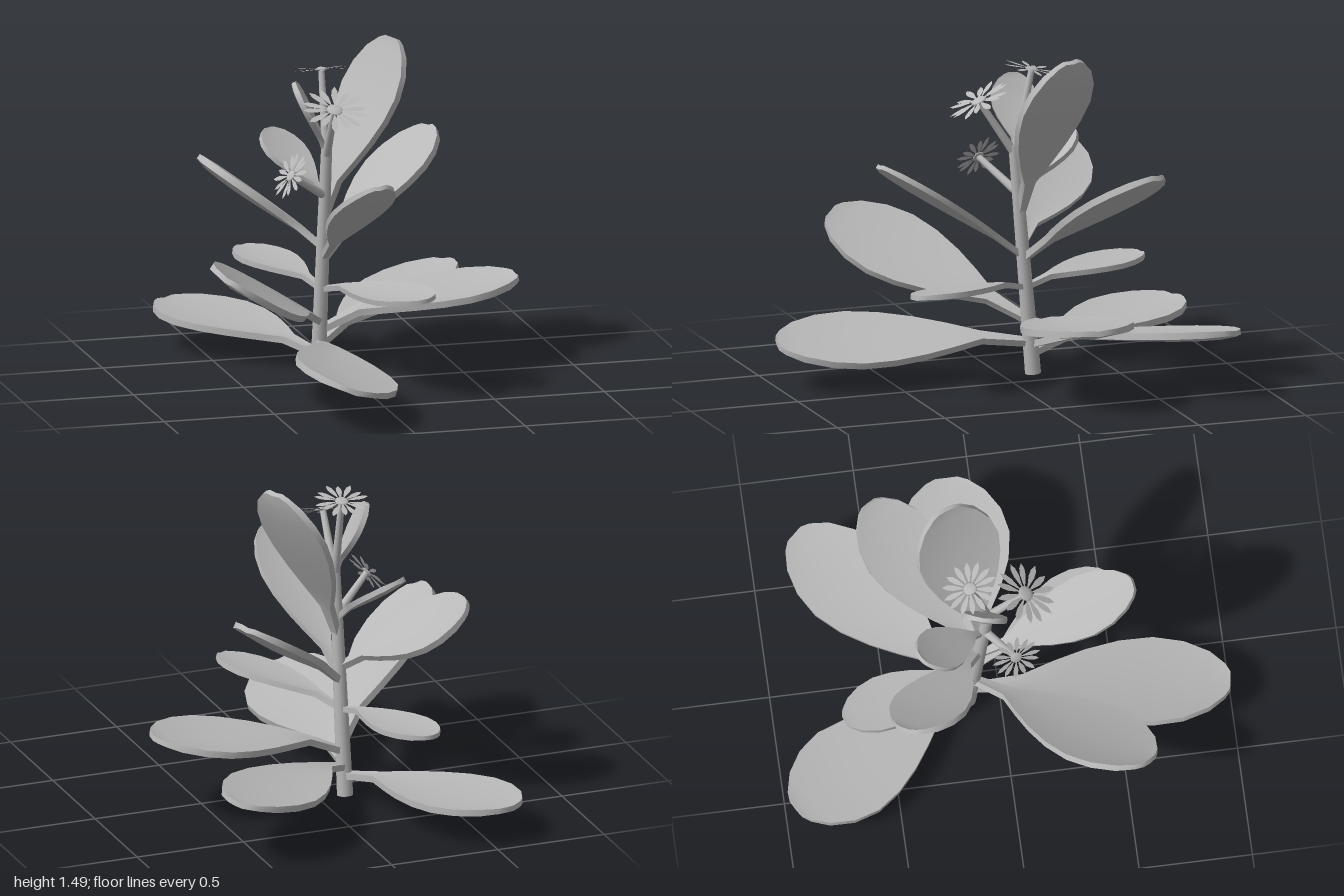
import * as THREE from 'three';
import { toCreasedNormals } from 'three/addons/utils/BufferGeometryUtils.js';

const V = (a) => new THREE.Vector3(...a);
const grey = new THREE.MeshStandardMaterial({ color: 0xb8b8b8, side: THREE.DoubleSide });
grey.name = 'plain grey';

// Centre of the leaning stem at height y
const stemAt = (y) => new THREE.Vector3(-0.122 + 0.012 * y, y, -0.14 + 0.09 * y);

function addMesh(parent, geometry, name) {
  const mesh = new THREE.Mesh(geometry, grey);
  mesh.name = name;
  parent.add(mesh);
  return mesh;
}

// Tapered rod between two points
function addRod(parent, from, to, r0, r1, name) {
  const dir = to.clone().sub(from);
  const rod = addMesh(parent, new THREE.CylinderGeometry(r1, r0, dir.length(), 12), name);
  rod.position.copy(from).add(to).multiplyScalar(0.5);
  rod.quaternion.setFromUnitVectors(new THREE.Vector3(0, 1, 0), dir.normalize());
}

// Paddle outline: distance along the leaf, share of the half width
const outline = [[0, 0.08], [0.2, 0.16], [0.32, 0.46], [0.44, 0.72], [0.57, 0.92],
  [0.7, 1], [0.82, 0.9], [0.92, 0.66], [0.98, 0.38], [1, 0.2]];

// Thick, slightly cupped leaf lofted along a midrib that rises early
function leafGeometry(base, tip, width, hint, arch, thick) {
  const axis = tip.clone().sub(base);
  const along = axis.clone().normalize();
  const normal = hint.clone().addScaledVector(along, -hint.dot(along)).normalize();
  const side = along.clone().cross(normal);
  const pos = [], index = [];
  for (const [t, w] of outline) {
    const mid = base.clone().addScaledVector(axis, t)
      .addScaledVector(normal, arch * Math.sin(Math.PI * Math.sqrt(t)));
    const half = w * width / 2;
    const cup = 0.12 * half;
    const h = thick * (t > 0.95 ? 0.4 : 0.5);
    for (const [s, n] of [[-1, h], [0, h - cup], [1, h], [1, -h], [0, -h - cup], [-1, -h]]) {
      const p = mid.clone().addScaledVector(side, s * half).addScaledVector(normal, n);
      pos.push(p.x, p.y, p.z);
    }
  }
  const last = (outline.length - 1) * 6;
  for (let r = 0; r < last; r += 6) {
    for (let k = 0; k < 6; k++) {
      const a = r + k, b = r + (k + 1) % 6;
      index.push(a, b, a + 6, b, b + 6, a + 6);
    }
  }
  for (const [a, b, c, d] of [[0, 1, 4, 5], [1, 2, 3, 4]]) {
    index.push(a, c, b, a, d, c);
    index.push(last + a, last + b, last + c, last + a, last + c, last + d);
  }
  const g = new THREE.BufferGeometry();
  g.setAttribute('position', new THREE.Float32BufferAttribute(pos, 3));
  g.setIndex(index);
  return toCreasedNormals(g, 0.6);
}

// Daisy with pointed petals around a domed centre
function addFlower(parent, center, facing, radius, count) {
  const flower = new THREE.Group();
  flower.name = 'flower';
  const petal = new THREE.Shape([[0.15, 0], [0.6, -0.1], [0.82, -0.09], [1, 0], [0.82, 0.09], [0.6, 0.1]]
    .map(([x, y]) => new THREE.Vector2(x * radius, y * radius)));
  const petalGeo = new THREE.ShapeGeometry(petal).rotateX(-Math.PI / 2);
  for (let i = 0; i < count; i++) {
    const mesh = addMesh(flower, petalGeo, 'petal');
    mesh.rotation.set(0, i / count * Math.PI * 2, i % 2 ? 0.06 : -0.03);
  }
  addMesh(flower, new THREE.SphereGeometry(radius * 0.25, 12, 6).scale(1, 0.25, 1), 'flowerCentre');
  flower.position.copy(center);
  flower.quaternion.setFromUnitVectors(new THREE.Vector3(0, 1, 0), facing.normalize());
  parent.add(flower);
}

export function createModel() {
  const plant = new THREE.Group();
  plant.name = 'floweringPlant';

  addRod(plant, stemAt(0), stemAt(1.04), 0.036, 0.025, 'stem');

  // Leaves: height on stem, tip, width, direction of the upper face, arch
  const leaves = [
    [0.09, [-0.59, 0.17, -0.96], 0.45, [0, 1, 0], 0.02],
    [0.13, [0.63, 0.3, -0.81], 0.42, [-0.2, 1, 0], 0.03],
    [0.2, [0.77, 0.39, -0.12], 0.49, [0, 1, 0], 0.04],
    [0.24, [-0.74, 0.64, 0.58], 0.41, [0.59, 0.8, 0], 0.01],
    [0.14, [-0.26, 0.2, 1.0], 0.46, [0.28, 0.95, 0], 0.025],
    [0.39, [0.2, 0.47, 0.52], 0.26, [-0.15, 1, 0], 0.02],
    [0.39, [-0.31, 0.45, -0.71], 0.25, [0, 1, 0], 0.02],
    [0.53, [-0.05, 1.01, 0.6], 0.28, [-0.15, 0.84, -0.54], 0.01],
    [0.58, [-0.57, 0.93, -0.46], 0.35, [0.62, 0.78, 0], 0.01],
    [0.52, [0.48, 0.99, -0.5], 0.35, [-0.6, 0.79, 0.25], 0.015],
    [0.72, [0.23, 1.48, -0.19], 0.39, [-0.9, 0.42, 0.35], 0.015],
    [0.8, [-0.29, 1.06, -0.37], 0.22, [0, 1, 0], 0.015],
    [1.0, [-0.245, 1.33, -0.09], 0.2, [0.9, 0.35, 0.25], 0.01],
  ];
  for (const [y, tip, width, up, arch] of leaves) {
    const thick = width > 0.3 ? 0.03 : 0.024;
    addMesh(plant, leafGeometry(stemAt(y), V(tip), width, V(up), arch, thick), 'leaf');
  }

  // Flowers: height of stalk on stem, centre, facing, radius, petals
  const flowers = [
    [1.0, [-0.11, 1.375, -0.13], [0, 0.96, -0.22], 0.125, 14],
    [1.0, [-0.118, 1.25, 0.115], [0, 0.88, 0.47], 0.145, 14],
    [0.82, [-0.3, 0.95, 0.05], [-0.8, 0.5, 0.2], 0.11, 14],
  ];
  for (const [y, center, facing, radius, count] of flowers) {
    addRod(plant, stemAt(y), V(center), 0.02, 0.014, 'flowerStalk');
    addFlower(plant, V(center), V(facing), radius, count);
  }
  return plant;
}
